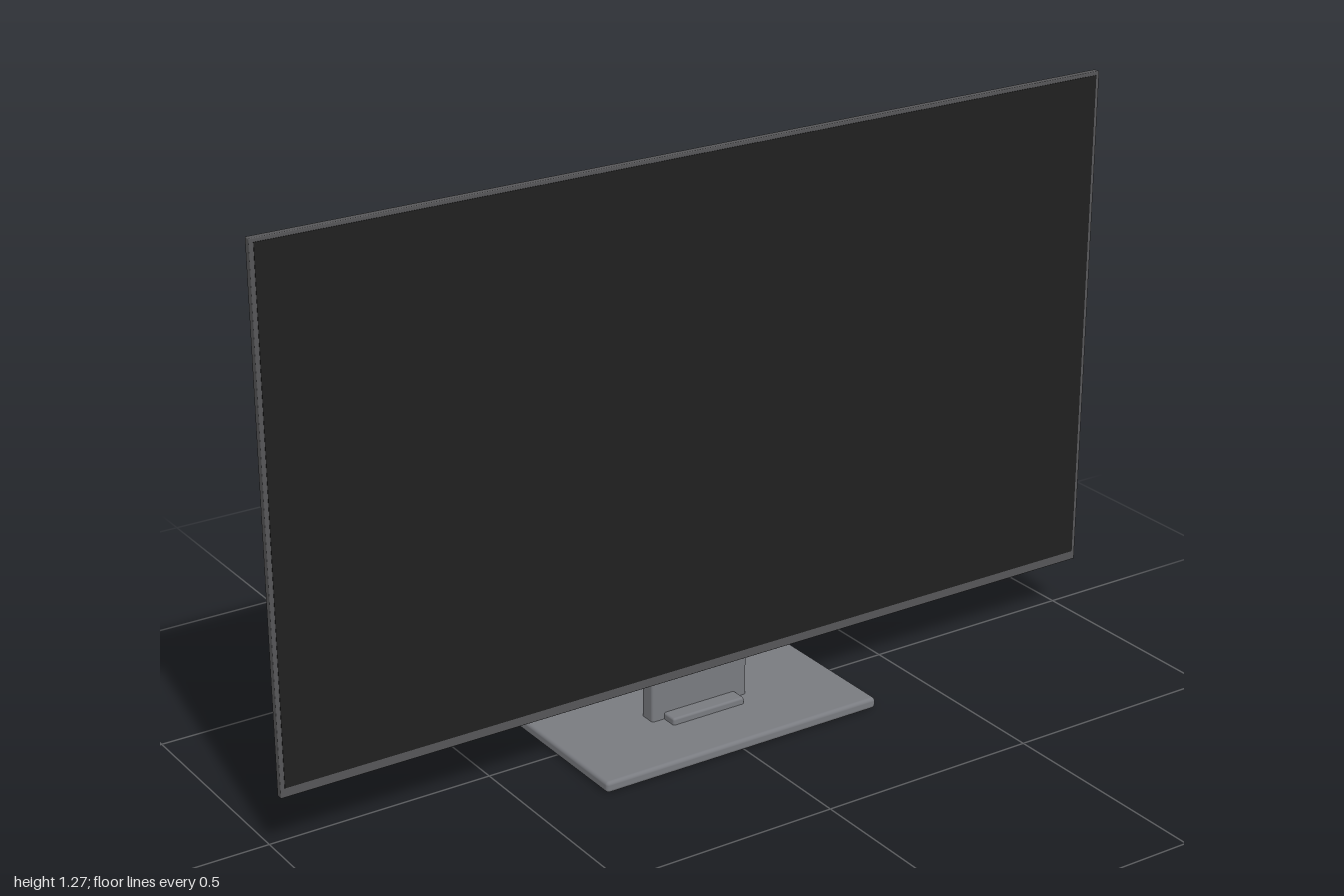
import * as THREE from 'three';
import { RoundedBoxGeometry } from 'three/addons/geometries/RoundedBoxGeometry.js';

function material(name, color) {
  const m = new THREE.MeshStandardMaterial({ color });
  m.name = name;
  return m;
}

export function createModel() {
  const group = new THREE.Group();
  const screenBlack = material('screen black', 0x202020);
  const frameGrey = material('frame grey', 0x565658);
  const housingBlack = material('housing black', 0x1e1e1f);
  const standGrey = material('stand grey', 0x797b80);
  const ventBlack = material('vent black', 0x111112);

  function add(name, geometry, mat, x, y, z) {
    const mesh = new THREE.Mesh(geometry, mat);
    mesh.name = name;
    mesh.position.set(x, y, z);
    group.add(mesh);
    return mesh;
  }

  // Box given by its min and max corners, rounded when a radius is passed
  function block(name, mat, [x0, y0, z0], [x1, y1, z1], r = 0) {
    const size = [x1 - x0, y1 - y0, z1 - z0];
    const geometry = r
      ? new RoundedBoxGeometry(...size, 4, r)
      : new THREE.BoxGeometry(...size);
    return add(name, geometry, mat, (x0 + x1) / 2, (y0 + y1) / 2, (z0 + z1) / 2);
  }

  // Thin display panel with its dark screen
  block('panelFrame', frameGrey, [-1, 0.132, 0.05], [1, 1.273, 0.066], 0.002);
  block('screen', screenBlack, [-0.991, 0.153, 0.064], [0.991, 1.265, 0.067]);

  // Rounded electronics housing on the back
  block('rearHousing', housingBlack, [-0.78, 0.19, -0.022], [0.78, 0.896, 0.054], 0.02);

  // Row of vents along the top of the housing
  const vents = 24;
  for (let i = 0; i < vents; i++) {
    const x = -0.612 + (i * 1.224) / (vents - 1);
    block('topVent', ventBlack, [x - 0.019, 0.893, 0.008], [x + 0.019, 0.898, 0.016]);
  }

  // Recess plates on both sides
  for (const s of [-1, 1]) {
    add('sidePort', new THREE.BoxGeometry(0.004, 0.355, 0.032), housingBlack, s * 0.7795, 0.5425, 0.018);
  }

  // Four mounting screws
  for (const x of [-0.245, 0.245]) {
    for (const y of [0.3, 0.787]) {
      const screw = add('mountScrew', new THREE.CylinderGeometry(0.011, 0.011, 0.006, 20), frameGrey, x, y, -0.0215);
      screw.rotation.x = Math.PI / 2;
      screw.material = housingBlack;
      const hole = add('screwHole', new THREE.CylinderGeometry(0.005, 0.005, 0.002, 12), ventBlack, x, y, -0.0245);
      hole.rotation.x = Math.PI / 2;
    }
  }

  // Stand: neck, collar and base plate
  block('standNeck', standGrey, [-0.12, 0.02, -0.01], [0.12, 0.25, 0.03], 0.006);
  block('standCollar', standGrey, [-0.09, 0.02, -0.045], [0.09, 0.04, 0.066], 0.005);
  block('standBase', standGrey, [-0.34, 0, -0.2], [0.34, 0.025, 0.2], 0.008);

  return group;
}
